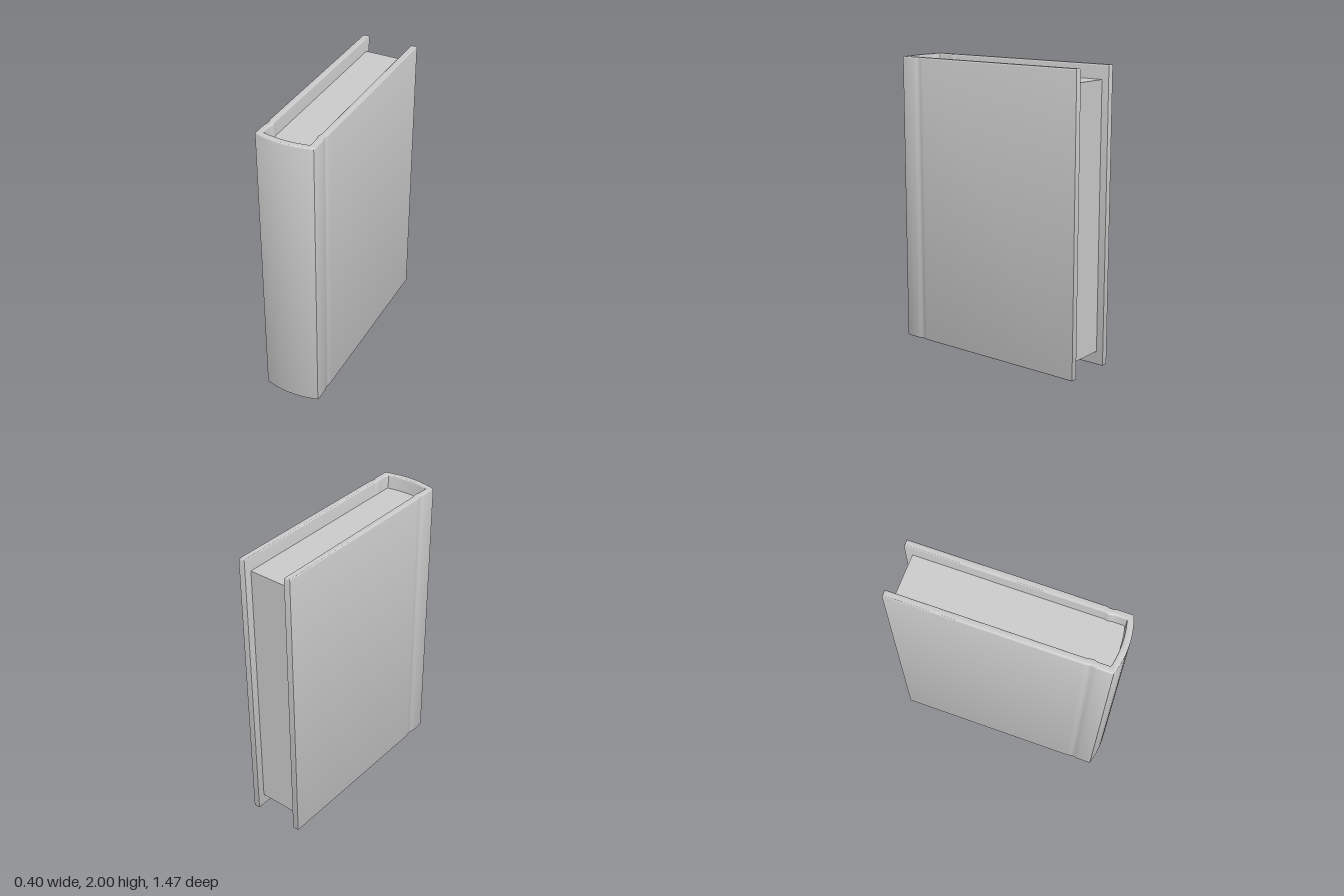
import * as THREE from 'three';
import { toCreasedNormals } from 'three/addons/utils/BufferGeometryUtils.js';

const material = new THREE.MeshStandardMaterial({ color: 0xcccccc, side: THREE.DoubleSide });

// Extrudes a plan outline of [x, z] points upward between two heights, with an optional rounded rim.
function upright(points, bottom, top, bevel, name) {
  const shape = new THREE.Shape(points.map(([x, z]) => new THREE.Vector2(x, -z)));
  const geometry = new THREE.ExtrudeGeometry(shape, {
    depth: top - bottom - 2 * bevel,
    bevelEnabled: bevel > 0,
    bevelThickness: bevel,
    bevelSize: bevel,
    bevelOffset: -bevel,
    bevelSegments: 3,
  });
  geometry.rotateX(-Math.PI / 2);
  geometry.translate(0, bottom + bevel, 0);
  const mesh = new THREE.Mesh(toCreasedNormals(geometry, 0.6), material);
  mesh.name = name;
  return mesh;
}

// Hinge groove: a shallow smooth dip in the boards beside the spine.
const HINGE_Z = 0.565, HINGE_HALF = 0.04, HINGE_DEPTH = 0.007;
function board(x, zEnd) {
  const points = [];
  for (let i = 0; i <= 8; i++) {
    const t = i / 4 - 1;
    const dip = HINGE_DEPTH * 0.5 * (1 + Math.cos(Math.PI * t));
    points.push([x - dip, HINGE_Z + t * HINGE_HALF]);
  }
  return [[x, zEnd], ...points];
}

// Bowed spine line from +x to -x.
function bow(x, zEdge, zMiddle) {
  const points = [];
  for (let i = 0; i <= 16; i++) {
    const t = 1 - i / 8;
    points.push([x * t, zMiddle - (zMiddle - zEdge) * t * t]);
  }
  return points;
}

const mirror = (points) => points.map(([x, z]) => [-x, z]).reverse();

export function createModel() {
  const book = new THREE.Group();
  book.name = 'book';

  // Cover: two boards and a bowed spine in one U-shaped wrap
  const outerBoard = board(0.198, -0.738);
  const innerBoard = board(0.154, -0.738);
  const outer = [
    ...outerBoard, [0.198, 0.697],
    ...bow(0.194, 0.706, 0.737),
    [-0.198, 0.697], ...mirror(outerBoard),
  ];
  const inner = [
    ...innerBoard, [0.154, 0.668],
    ...bow(0.149, 0.676, 0.693),
    [-0.154, 0.668], ...mirror(innerBoard),
  ];
  book.add(upright([...outer, ...inner.reverse()], 0, 2, 0.009, 'cover'));

  // Page block, set back from the cover on three sides
  const pages = [
    [0.151, -0.69], [0.151, 0.66],
    ...bow(0.147, 0.672, 0.689),
    [-0.151, 0.66], [-0.151, -0.69],
  ];
  book.add(upright(pages, 0.095, 1.905, 0, 'pages'));

  return book;
}
